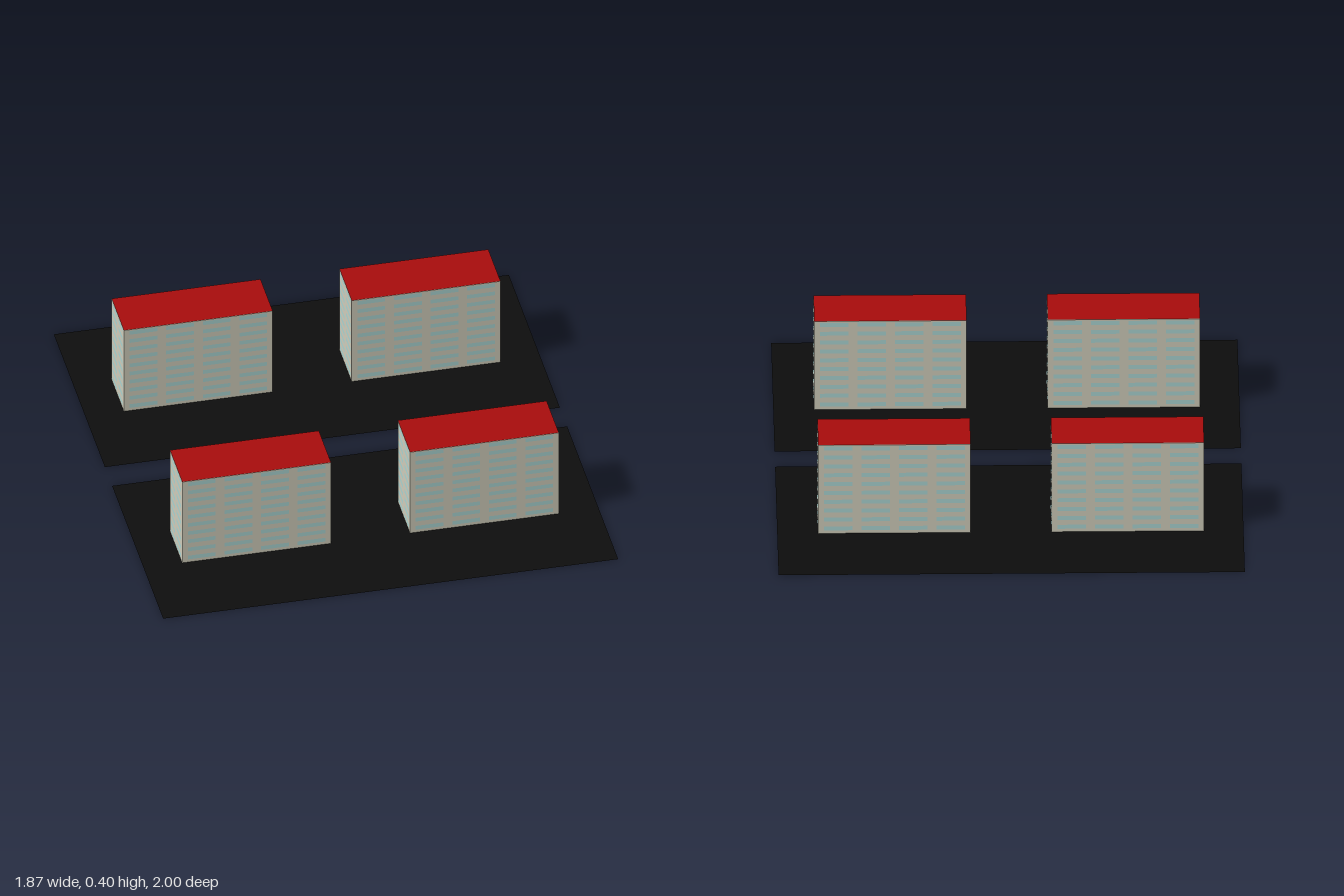
import * as THREE from 'three';
import { mergeGeometries } from 'three/addons/utils/BufferGeometryUtils.js';

const W = 0.61, H = 0.4, D = 0.223, FLOORS = 10, GAP = 0.001;

const material = (color, side = THREE.FrontSide) =>
  new THREE.MeshStandardMaterial({ color, side });

// Window bands for one facade of the given width, facing +z at distance dist, turned by angle
function facadeWindows(width, columns, dist, angle) {
  const bay = (width - 0.01) / columns, floor = H / FLOORS, panes = [];
  for (let r = 0; r < FLOORS; r++) {
    for (let c = 0; c < columns; c++) {
      const pane = new THREE.PlaneGeometry(bay * 0.76, floor * 0.45);
      pane.translate((c - (columns - 1) / 2) * bay, (r + 0.6) * floor, dist + GAP);
      panes.push(pane.rotateY(angle));
    }
  }
  return panes;
}

export function createModel() {
  const model = new THREE.Group();
  model.name = 'apartmentBlocks';

  const wallMat = material(0xcfccba);
  const glassMat = material(0xa9d3d0);
  const roofMat = material(0xa80c0c);
  const groundMat = material(0x0d0d0d, THREE.DoubleSide);

  // Shared geometry: walls kept just clear of ground and roof planes
  const wallGeo = new THREE.BoxGeometry(W, H - 2 * GAP, D).translate(0, H / 2, 0);
  const roofGeo = new THREE.PlaneGeometry(W, D).rotateX(-Math.PI / 2).translate(0, H, 0);
  const windowGeo = mergeGeometries([
    ...facadeWindows(W, 4, D / 2, 0),
    ...facadeWindows(W, 4, D / 2, Math.PI),
    ...facadeWindows(D, 2, W / 2, Math.PI / 2),
    ...facadeWindows(D, 2, W / 2, -Math.PI / 2),
  ]);
  const groundGeo = new THREE.PlaneGeometry(1.866, 0.934).rotateX(-Math.PI / 2);

  const add = (parent, name, geometry, mat) => {
    const mesh = new THREE.Mesh(geometry, mat);
    mesh.name = name;
    parent.add(mesh);
    return mesh;
  };

  for (const [row, s] of [['front', 1], ['back', -1]]) {
    // Flat asphalt lot, separated from the other by a gap
    add(model, row + 'Lot', groundGeo, groundMat).position.z = s * 0.533;

    // Two buildings on each lot
    for (const [side, x] of [['Right', -0.47], ['Left', 0.464]]) {
      const building = new THREE.Group();
      building.name = row + side + 'Building';
      building.position.set(x, 0, s * 0.533);
      add(building, 'walls', wallGeo, wallMat);
      add(building, 'windows', windowGeo, glassMat);
      add(building, 'roof', roofGeo, roofMat);
      model.add(building);
    }
  }
  return model;
}
